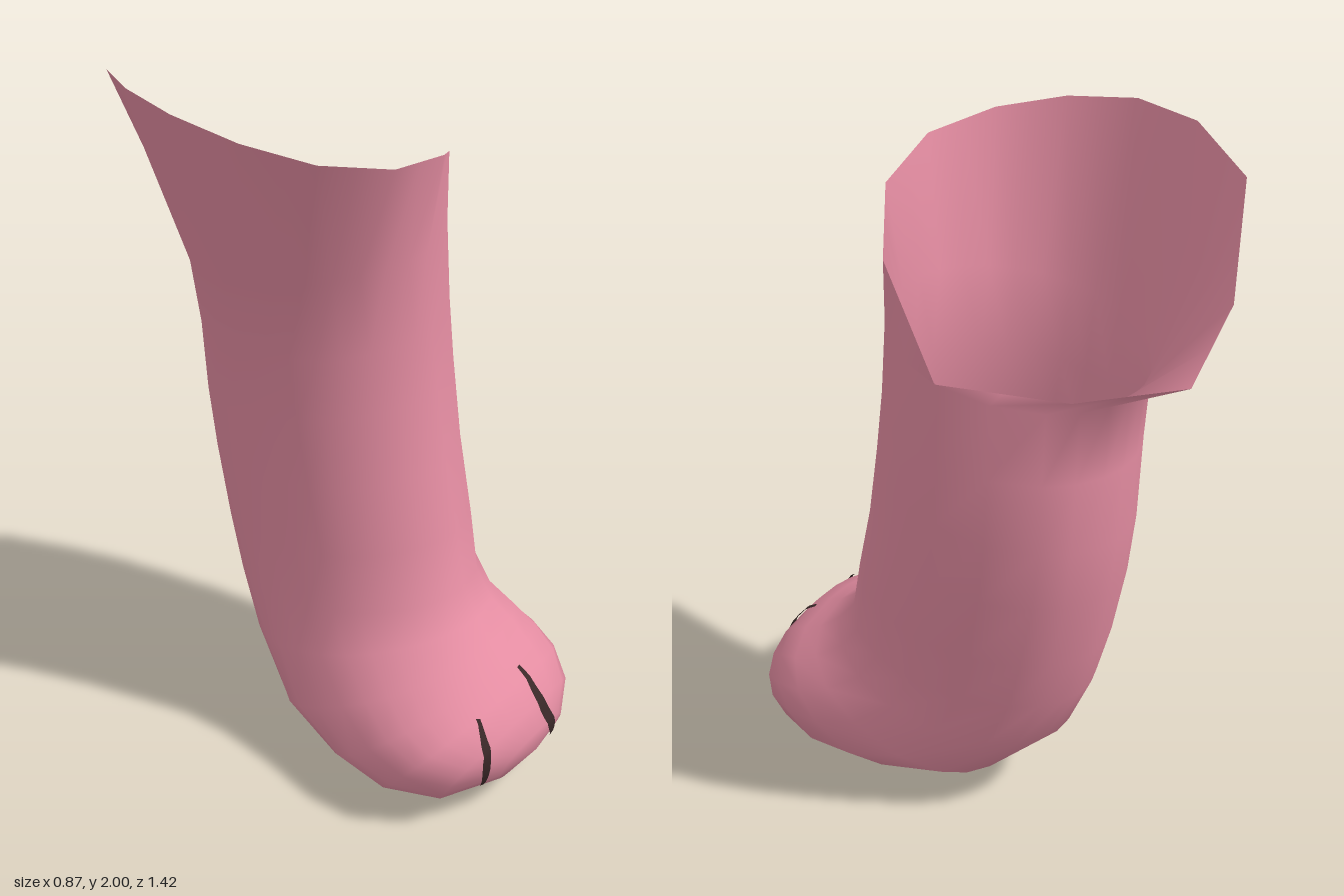
import * as THREE from 'three';

const pink = new THREE.MeshStandardMaterial({ color: 0xe38ca1, side: THREE.DoubleSide });
pink.name = 'pinkSkin';
const dark = new THREE.MeshStandardMaterial({ color: 0x3a2828, side: THREE.DoubleSide });
dark.name = 'darkLine';

// slanted, flared open rim [x, y, z], from the front round by +x
const RIM = [
  [0.07, 1.84, 0.285], [0.3, 1.74, 0.15], [0.43, 1.5, -0.08], [0.33, 1.49, -0.42],
  [0.21, 1.55, -0.69], [0.01, 1.7, -0.705], [-0.2, 1.95, -0.63], [-0.37, 2, -0.41],
  [-0.44, 2, -0.2], [-0.43, 1.97, 0.01], [-0.35, 1.93, 0.19], [-0.18, 1.89, 0.305],
];
// angle of each rim corner on the rings below
const ANGLES = [0, 42, 84, 130, 160, 185, 207, 234, 262, 288, 312, 336, 360];

// leg and foot rings: front z, y, back z, y, min x, max x
const RINGS = [
  [0.24, 1.55, -0.48, 1.42, -0.285, 0.42],
  [0.245, 1.3, -0.48, 1.22, -0.24, 0.43],
  [0.265, 1.12, -0.475, 1.0, -0.225, 0.428],
  [0.3, 0.9, -0.455, 0.82, -0.215, 0.415],
  [0.35, 0.7, -0.41, 0.6, -0.215, 0.395],
  [0.39, 0.53, -0.36, 0.43, -0.22, 0.37],
  [0.45, 0.46, -0.28, 0.25, -0.25, 0.37],
  [0.51, 0.41, -0.11, 0.09, -0.31, 0.385],
  [0.57, 0.375, 0.13, 0.025, -0.37, 0.388],
  [0.63, 0.34, 0.33, 0, -0.38, 0.355],
  [0.68, 0.28, 0.52, 0.01, -0.31, 0.28],
  [0.705, 0.21, 0.65, 0.07, -0.15, 0.16],
];

// skin: one loft from the rim down the leg and out to the toes
function skinGeometry() {
  const n = 24, pos = [], index = [];
  for (let j = 0; j < n; j++) {
    const k = j >> 1, a = RIM[k], b = RIM[(k + (j & 1)) % 12];
    for (let c = 0; c < 3; c++) pos.push((a[c] + b[c]) / 2);
  }
  RINGS.forEach(([fz, fy, bz, by, x0, x1], i) => {
    const p = i > 6 ? 0.87 : 1; // boxier rings in the foot
    const round = (v) => Math.sign(v) * Math.pow(Math.abs(v), p);
    for (let j = 0; j < n; j++) {
      const k = j >> 1;
      const a = THREE.MathUtils.degToRad((ANGLES[k] + ANGLES[k + (j & 1)]) / 2);
      const t = (1 + round(Math.cos(a))) / 2;
      const x = (x0 + x1) / 2 + (x1 - x0) / 2 * round(Math.sin(a));
      pos.push(x, by + (fy - by) * t, bz + (fz - bz) * t);
    }
  });
  for (let i = 0; i < RINGS.length; i++) {
    for (let j = 0; j < n; j++) {
      const a = i * n + j, b = i * n + (j + 1) % n;
      index.push(a, a + n, b, b, a + n, b + n);
    }
  }
  // toe cap
  const tip = pos.length / 3, last = RINGS.length * n;
  pos.push(0, 0.14, 0.7);
  for (let j = 0; j < n; j++) index.push(last + j, tip, last + (j + 1) % n);
  const g = new THREE.BufferGeometry();
  g.setAttribute('position', new THREE.Float32BufferAttribute(pos, 3));
  g.setIndex(index);
  g.computeVertexNormals();
  return g;
}

// toe line: a thin strip laid on the skin along an x, y path
function toeLine(skin, points, width) {
  const curve = new THREE.CatmullRomCurve3(points.map(([x, y]) => new THREE.Vector3(x, y, 0)));
  const ray = new THREE.Raycaster(), pos = [], index = [], steps = 24;
  for (let i = 0; i <= steps; i++) {
    const t = i / steps, p = curve.getPoint(t);
    const w = width * (0.35 + 0.65 * Math.sin(Math.PI * t));
    for (const side of [-0.5, 0.5]) {
      ray.set(new THREE.Vector3(p.x + side * w, p.y, 2), new THREE.Vector3(0, 0, -1));
      const hit = ray.intersectObject(skin)[0];
      if (!hit) continue;
      const q = hit.point.addScaledVector(hit.face.normal, 0.007);
      pos.push(q.x, q.y, q.z);
    }
  }
  for (let a = 0; a + 3 < pos.length / 3; a += 2) index.push(a, a + 1, a + 2, a + 1, a + 3, a + 2);
  const g = new THREE.BufferGeometry();
  g.setAttribute('position', new THREE.Float32BufferAttribute(pos, 3));
  g.setIndex(index);
  g.computeVertexNormals();
  return new THREE.Mesh(g, dark);
}

export function createModel() {
  const group = new THREE.Group();
  group.name = 'leg';
  const skin = new THREE.Mesh(skinGeometry(), pink);
  skin.name = 'legAndFoot';
  skin.updateMatrixWorld(true);
  group.add(skin);

  const lines = [
    ['middleToeLine', [[0.045, 0.355], [0.04, 0.27], [0.065, 0.19], [0.1, 0.12]], 0.04],
    ['innerToeLine', [[-0.19, 0.325], [-0.215, 0.25], [-0.215, 0.19], [-0.2, 0.12]], 0.026],
  ];
  for (const [name, points, width] of lines) {
    const line = toeLine(skin, points, width);
    line.name = name;
    group.add(line);
  }
  return group;
}
